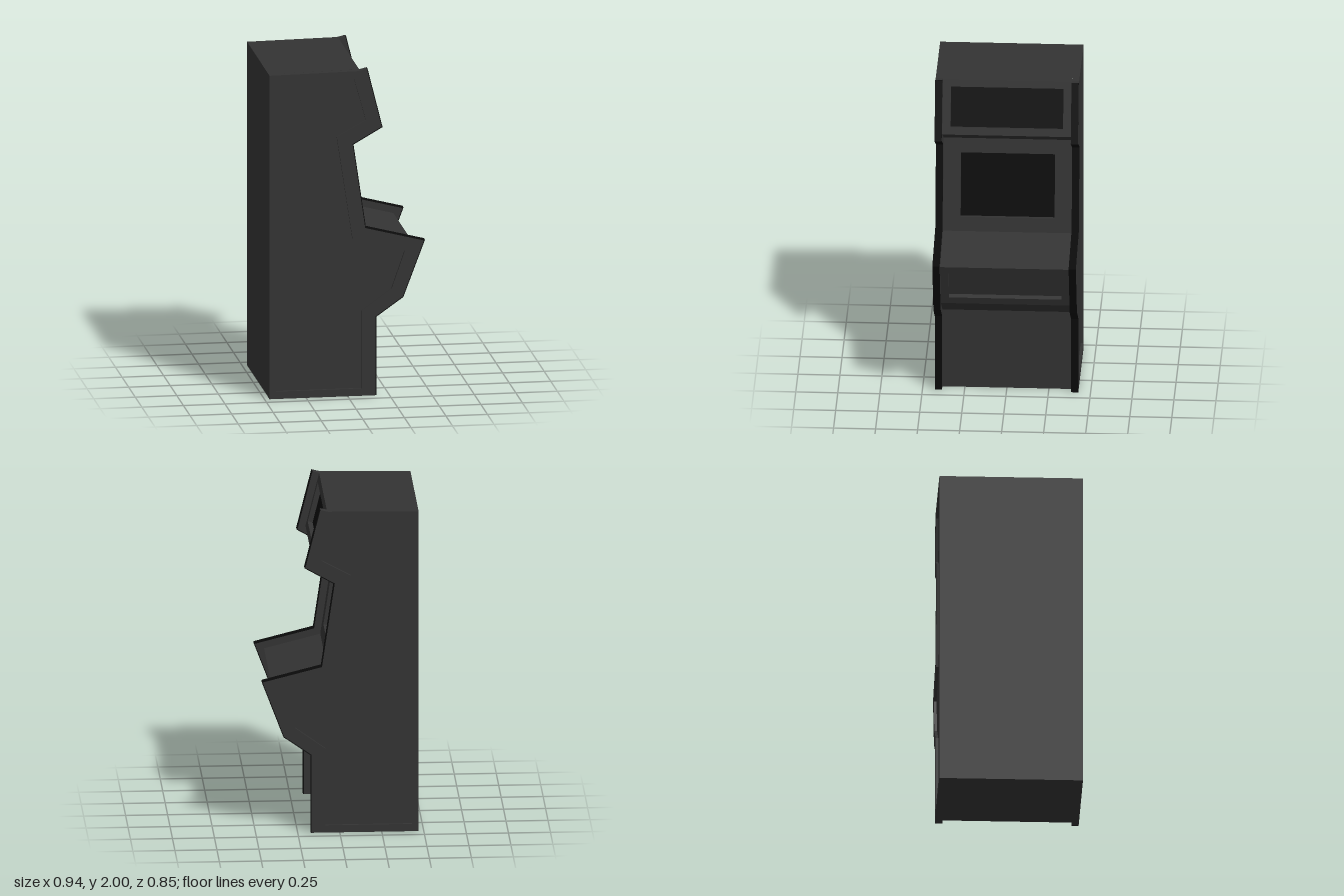
import * as THREE from 'three';

const bodyMat = new THREE.MeshStandardMaterial({ color: 0x333333 });
const blackMat = new THREE.MeshStandardMaterial({ color: 0x0a0a0a });

const INNER_Z = 0.384, RECESS_Z = 0.411, OUTER_Z = 0.427;
const DEPTH = 0.03; // depth of the recessed windows

// Front edge of the side panels, from the floor to the top
const FRONT = [[0.172, 0], [0.172, 0.48], [0.335, 0.595], [0.465, 0.94],
  [0.11, 1.03], [0.035, 1.54], [0.21, 1.64], [0.12, 2]];
// Sunken area on the outside of the side panels
const SUNKEN = [[-0.43, 0.045], [0.085, 0.045], [0.085, 0.52], [0.265, 0.65], [0.345, 0.88],
  [0.03, 0.96], [-0.065, 1.59], [0.11, 1.685], [0.04, 1.94], [-0.43, 1.95]];

const toShape = (pts) => new THREE.Shape(pts.map(([x, y]) => new THREE.Vector2(x, y)));

const rect = (w, y0, y1) => [[-w, y0], [w, y0], [w, y1], [-w, y1]];

// Moves an open line inwards by a distance, with mitred corners
function inset(pts, dist) {
  const normals = pts.slice(1).map(([x, y], i) =>
    new THREE.Vector2(pts[i][1] - y, x - pts[i][0]).normalize());
  return pts.map(([x, y], i) => {
    const a = normals[Math.max(i - 1, 0)];
    const b = normals[Math.min(i, normals.length - 1)];
    const k = dist / (1 + a.dot(b));
    return [x + (a.x + b.x) * k, y + (a.y + b.y) * k];
  });
}

function addMesh(parent, name, geometry, material) {
  const mesh = new THREE.Mesh(geometry, material);
  mesh.name = name;
  parent.add(mesh);
  return mesh;
}

function extrude(shape, z0, z1) {
  return new THREE.ExtrudeGeometry(shape, { depth: z1 - z0, bevelEnabled: false }).translate(0, 0, z0);
}

// One flat face of the cabinet between two profile points, optionally with a recessed window
function cabinetFace(name, p, q, window) {
  const group = new THREE.Group();
  group.name = name;
  const up = new THREE.Vector3(q[0] - p[0], q[1] - p[1], 0);
  const length = up.length();
  up.normalize();
  const out = new THREE.Vector3(up.y, -up.x, 0);
  group.setRotationFromMatrix(new THREE.Matrix4().makeBasis(new THREE.Vector3(0, 0, -1), up, out));
  group.position.set(p[0], p[1], 0);

  const face = toShape(rect(INNER_Z, 0, length));
  if (window) {
    const v0 = (window.y0 - p[1]) / up.y, v1 = (window.y1 - p[1]) / up.y;
    const rim = 0.01;
    const outer = rect(window.w + rim, v0 - rim, v1 + rim);
    face.holes.push(toShape(outer));
    const bezel = toShape(outer);
    bezel.holes.push(toShape(rect(window.w, v0, v1)));
    addMesh(group, name + 'Bezel', extrude(bezel, -DEPTH, 0), bodyMat);
    const pane = addMesh(group, name + 'Pane',
      new THREE.PlaneGeometry(window.w * 2, v1 - v0), window.material);
    pane.position.set(0, (v0 + v1) / 2, -DEPTH);
  }
  addMesh(group, name + 'Surface', new THREE.ShapeGeometry(face), bodyMat);
  return group;
}

// Side panel with a sunken outer area and black edge trim, built for +z
function sidePanel(name) {
  const group = new THREE.Group();
  group.name = name;
  const edge = inset(FRONT, 0.005);
  const outline = [[-0.47, 0], ...edge, [0.07, 1.988], [-0.47, 1.98]];
  const frame = toShape(outline);
  frame.holes.push(toShape(SUNKEN));
  addMesh(group, 'sideBoard', extrude(toShape(outline), INNER_Z, RECESS_Z), bodyMat);
  addMesh(group, 'sideFrame', extrude(frame, RECESS_Z, OUTER_Z), bodyMat);
  const trim = toShape([...FRONT, ...edge.reverse()]);
  addMesh(group, 'edgeTrim', extrude(trim, INNER_Z, OUTER_Z), blackMat);
  return group;
}

export function createModel() {
  const model = new THREE.Group();
  model.name = 'arcadeCabinet';

  // Cabinet body, face by face around its profile
  const profile = [...inset(FRONT, 0.046), [-0.47, 1.98], [-0.47, 0]];
  const names = ['lowerFront', 'kneeSlope', 'coinPanel', 'controlPanel', 'screen',
    'soffit', 'marquee', 'top', 'back', 'bottom'];
  const windows = {
    coinPanel: { w: 0.335, y0: 0.67, y1: 0.87, material: bodyMat },
    screen: { w: 0.28, y0: 1.08, y1: 1.475, material: blackMat },
    marquee: { w: 0.335, y0: 1.705, y1: 1.945, material: blackMat },
  };
  names.forEach((name, i) => {
    model.add(cabinetFace(name, profile[i], profile[(i + 1) % profile.length], windows[name]));
  });

  // Mirrored side panels
  const near = sidePanel('sidePanelFront');
  const far = sidePanel('sidePanelBack');
  far.scale.z = -1;
  model.add(near, far);
  return model;
}
